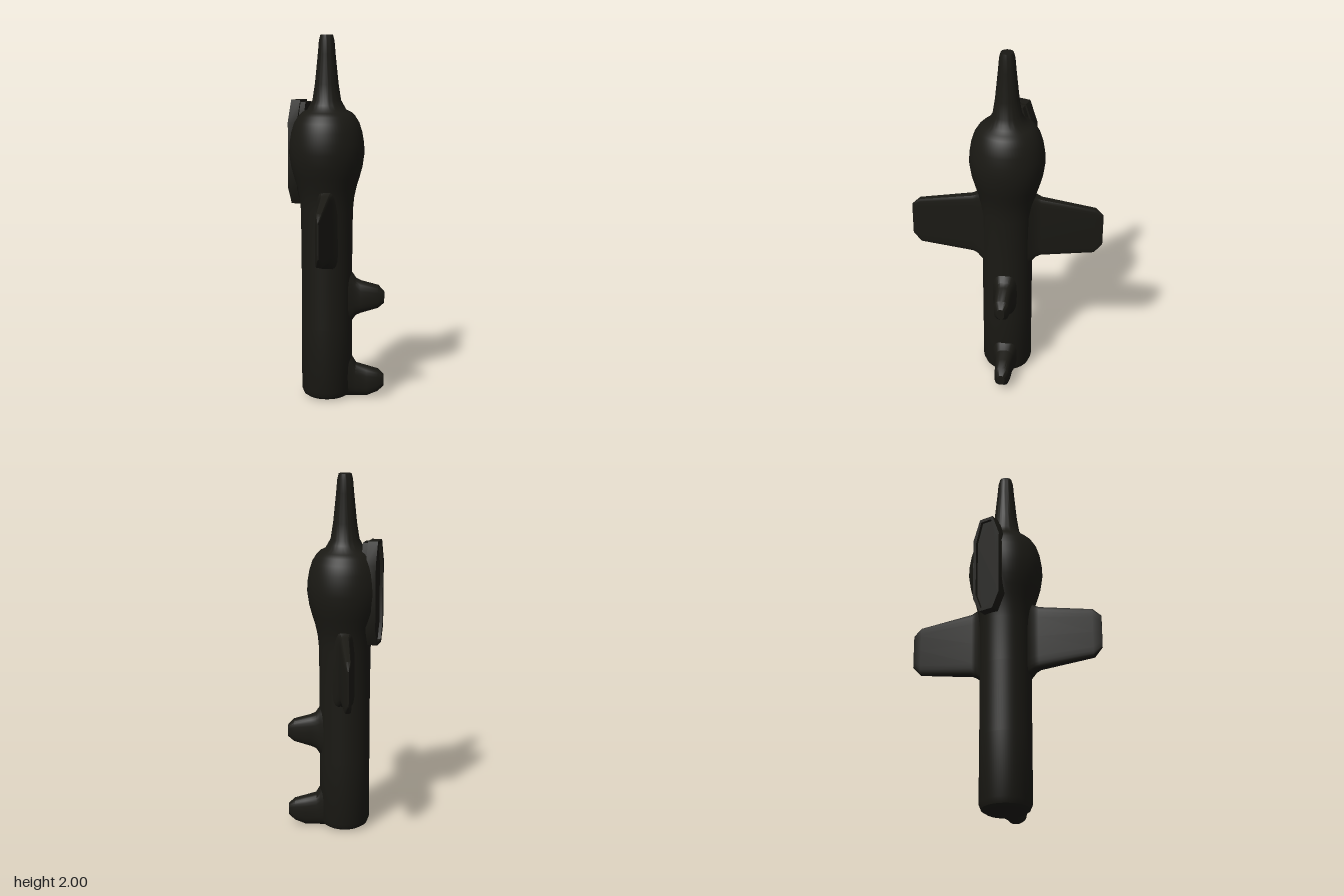
import * as THREE from 'three';
import { mergeVertices, toCreasedNormals } from 'three/addons/utils/BufferGeometryUtils.js';

const material = new THREE.MeshStandardMaterial({ color: 0x1a1914 });

function addMesh(parent, name, geometry, crease = 0.6) {
  const mesh = new THREE.Mesh(toCreasedNormals(geometry, crease), material);
  mesh.name = name;
  parent.add(mesh);
  return mesh;
}

// Loft of rounded-box sections along +z: [distance, half width, centre y, half height]
function loft(sections, power = 4, sides = 24) {
  const positions = [], index = [];
  const soft = (v) => Math.sign(v) * Math.abs(v) ** (2 / power);
  for (const [z, hx, cy, hy] of sections) {
    for (let i = 0; i < sides; i++) {
      const a = (i / sides) * Math.PI * 2;
      positions.push(hx * soft(Math.cos(a)), cy + hy * soft(Math.sin(a)), z);
    }
  }
  for (let s = 0; s < sections.length - 1; s++) {
    for (let i = 0; i < sides; i++) {
      const a = s * sides + i, b = s * sides + (i + 1) % sides;
      index.push(a, b, b + sides, a, b + sides, a + sides);
    }
  }
  // End cap
  const last = sections[sections.length - 1];
  const centre = positions.length / 3, start = (sections.length - 1) * sides;
  positions.push(0, last[2], last[0]);
  for (let i = 0; i < sides; i++) index.push(centre, start + i, start + (i + 1) % sides);
  const geometry = new THREE.BufferGeometry();
  geometry.setAttribute('position', new THREE.Float32BufferAttribute(positions, 3));
  geometry.setIndex(index);
  return geometry;
}

// Elongated outline with chamfered ends
function plateOutline(inset, Type) {
  const w = 0.085 - inset, e = 0.042 - inset * 0.5, lo = 1.08 + inset, hi = 1.65 - inset;
  return new Type([[-e, lo], [e, lo], [w, lo + 0.09], [w, hi - 0.12], [e, hi], [-e, hi], [-w, hi - 0.12], [-w, lo + 0.09]]
    .map(([x, y]) => new THREE.Vector2(x, y)));
}

export function createModel() {
  const model = new THREE.Group();
  const totem = new THREE.Group();
  totem.name = 'totem';
  totem.position.set(-0.045, 0, -0.007);
  model.add(totem);

  const plateAngle = Math.atan2(-0.77, -0.63);

  // Pole, bulbous head and spire in one turned profile
  const profile = [
    [0, 0], [0.105, 0], [0.128, 0.015], [0.14, 0.045], [0.14, 0.4], [0.14, 0.8], [0.143, 1.05],
    [0.15, 1.12], [0.163, 1.18], [0.18, 1.235], [0.195, 1.29], [0.206, 1.365], [0.203, 1.42],
    [0.193, 1.48], [0.177, 1.53], [0.155, 1.565], [0.135, 1.585], [0.106, 1.6], [0.092, 1.625], [0.078, 1.65],
    [0.064, 1.74], [0.048, 1.9], [0.042, 1.97], [0.034, 2], [0, 2],
  ].map(([r, y]) => new THREE.Vector2(r, y));
  let body = new THREE.LatheGeometry(profile, 64);
  body.deleteAttribute('uv');
  body.deleteAttribute('normal');
  body = mergeVertices(body);

  // Press a flat seat for the back plate into the head
  const p = body.attributes.position, v = new THREE.Vector3(), up = new THREE.Vector3(0, 1, 0);
  for (let i = 0; i < p.count; i++) {
    v.fromBufferAttribute(p, i).applyAxisAngle(up, -plateAngle);
    if (v.y > 1.1 && Math.abs(v.x) < 0.08) v.z = Math.min(v.z, 0.165);
    v.applyAxisAngle(up, plateAngle);
    p.setXYZ(i, v.x, v.y, v.z);
  }
  addMesh(totem, 'poleAndHead', body);

  // Back plate: floor with a raised rim
  const plate = new THREE.Group();
  plate.name = 'backPlate';
  plate.rotation.y = plateAngle;
  totem.add(plate);
  const floor = new THREE.ExtrudeGeometry(plateOutline(0.01, THREE.Shape), { depth: 0.068, bevelEnabled: false });
  addMesh(plate, 'plateFloor', floor).position.z = 0.11;
  const rimShape = plateOutline(0, THREE.Shape);
  rimShape.holes.push(plateOutline(0.018, THREE.Path));
  const rim = new THREE.ExtrudeGeometry(rimShape, { depth: 0.055, bevelEnabled: false });
  addMesh(plate, 'plateRim', rim).position.z = 0.14;

  // Wings, beak and foot share one facing
  const limbs = new THREE.Group();
  limbs.name = 'limbs';
  limbs.rotation.y = -0.35;
  totem.add(limbs);

  const wing = [
    [0.1, 0.08, 0.96, 0.24], [0.14, 0.05, 0.96, 0.215], [0.165, 0.036, 0.965, 0.195],
    [0.19, 0.029, 0.965, 0.183], [0.487, 0.02, 0.96, 0.14], [0.532, 0.003, 0.965, 0.095],
  ];
  for (const side of [1, -1]) {
    const mesh = addMesh(limbs, side > 0 ? 'rightWing' : 'leftWing', loft(wing, 6));
    mesh.rotation.y = side > 0 ? 0 : Math.PI;
    mesh.position.x = 0.008;
  }

  const beak = [
    [0.09, 0.08, 0.565, 0.17], [0.14, 0.062, 0.565, 0.135], [0.162, 0.052, 0.565, 0.103],
    [0.19, 0.049, 0.565, 0.09], [0.285, 0.042, 0.568, 0.063], [0.318, 0.02, 0.565, 0.032],
  ];
  const foot = [
    [0.09, 0.08, 0.135, 0.135], [0.14, 0.062, 0.11, 0.11], [0.162, 0.052, 0.093, 0.092],
    [0.225, 0.047, 0.085, 0.083], [0.285, 0.042, 0.09, 0.062], [0.318, 0.02, 0.09, 0.032],
  ];
  for (const [name, sections] of [['beak', beak], ['foot', foot]]) {
    addMesh(limbs, name, loft(sections, 3)).rotation.y = Math.PI / 2;
  }
  return model;
}
